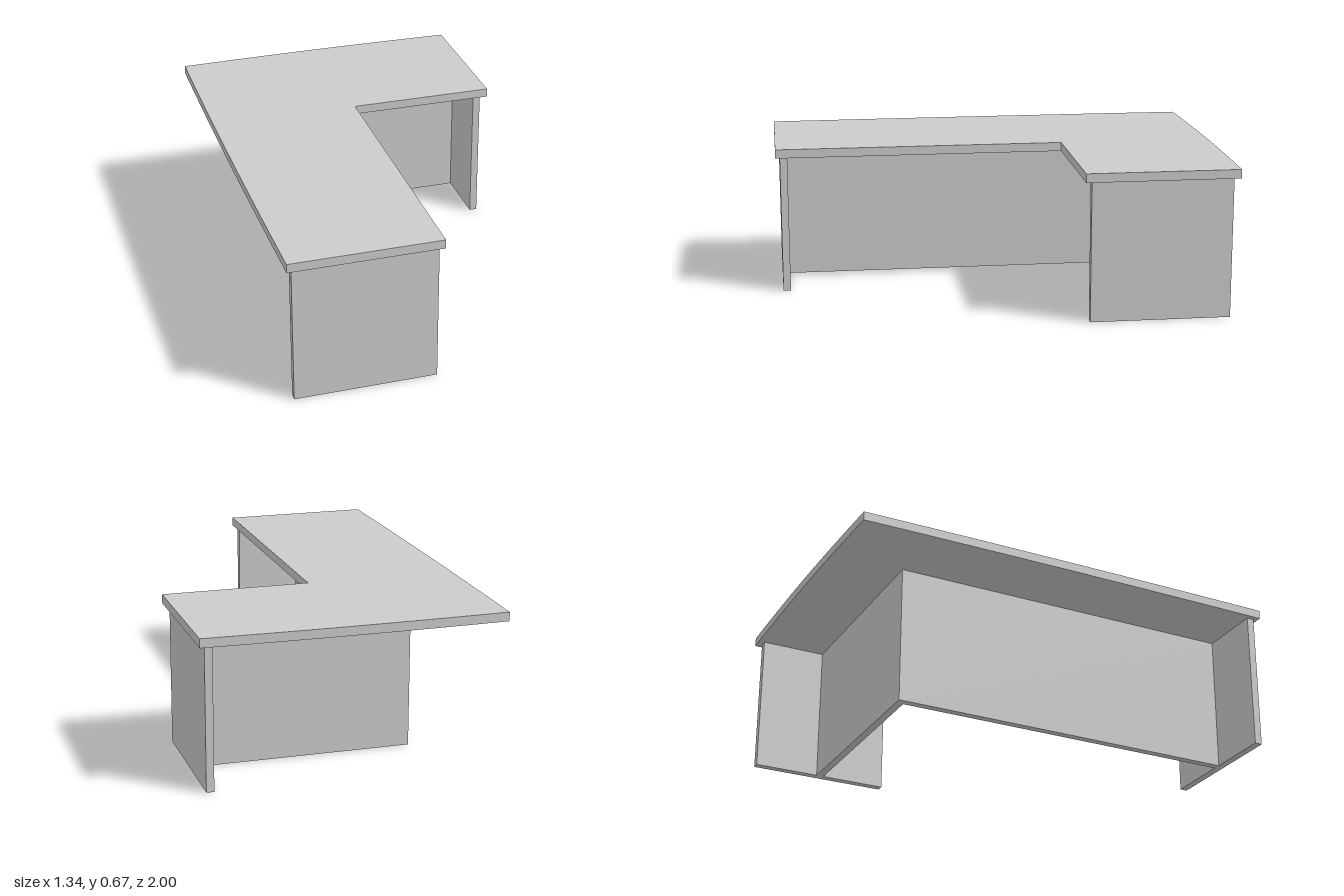
import * as THREE from 'three';

export function createModel() {
  const desk = new THREE.Group();
  desk.name = 'cornerDesk';
  const material = new THREE.MeshStandardMaterial({ color: 0xcccccc, flatShading: true });
  const topY = 0.67, legY = 0.63, thick = 0.034;

  const add = (name, geometry) => {
    const mesh = new THREE.Mesh(geometry, material);
    mesh.name = name;
    desk.add(mesh);
  };
  // Upright board from the floor to the underside of the top
  const panel = (name, x0, x1, z0, z1) => add(name,
    new THREE.BoxGeometry(x1 - x0, legY, z1 - z0)
      .translate((x0 + x1) / 2, legY / 2, (z0 + z1) / 2));

  // L-shaped top as [x, z]; its back and right edges bow out slightly
  const outline = [[0.01, 1], [0.01, -0.31], [0.67, -0.31], [0.67, -0.99]];
  const steps = 8;
  for (let i = 1; i < steps; i++) {
    const t = i / steps;
    outline.push([0.67 - 1.333 * t, -0.99 - 0.04 * t * (1 - t)]);
  }
  for (let i = 0; i <= steps; i++) {
    const t = i / steps;
    outline.push([-0.663 - 0.028 * t * (1 - t), -0.99 + 1.99 * t]);
  }
  const shape = new THREE.Shape(outline.map(([x, z]) => new THREE.Vector2(x, -z)));
  add('deskTop', new THREE.ExtrudeGeometry(shape, { depth: topY - legY, bevelEnabled: false })
    .rotateX(-Math.PI / 2).translate(0, legY, 0));

  // End panels under the two wings
  panel('frontEndPanel', -0.64, -0.01, 0.98 - thick, 0.98);
  panel('sideEndPanel', 0.645 - thick, 0.645, -0.965, -0.34);

  // Modesty panels along the middle of each wing, meeting at the corner
  const midX = -0.325, midZ = -0.6525, h = thick / 2;
  panel('longModestyPanel', midX - h, midX + h, midZ - h, 0.98 - thick);
  panel('shortModestyPanel', midX + h, 0.645 - thick, midZ - h, midZ + h);

  return desk;
}
